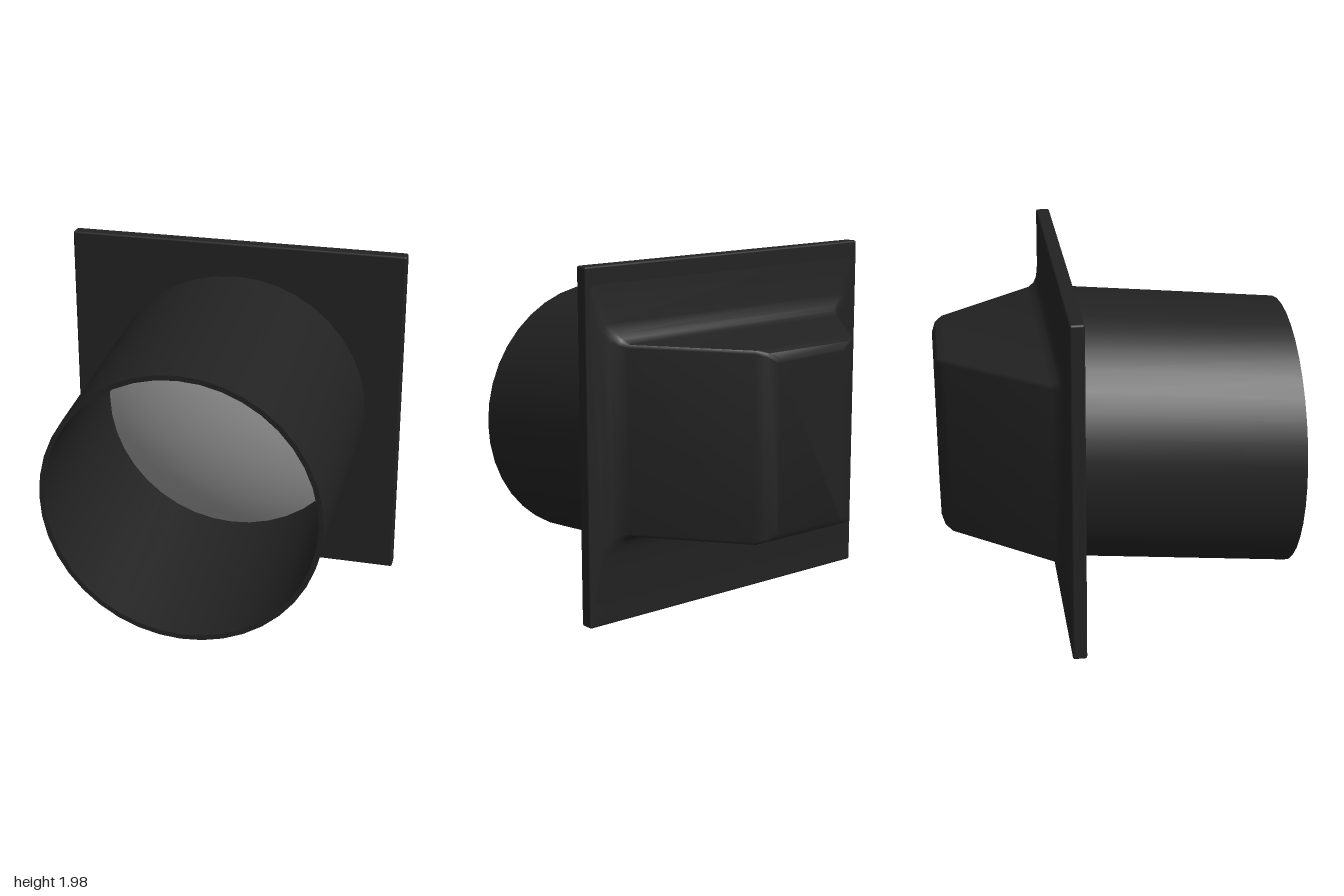
import * as THREE from 'three';
import { toCreasedNormals } from 'three/addons/utils/BufferGeometryUtils.js';
import { RoundedBoxGeometry } from 'three/addons/geometries/RoundedBoxGeometry.js';

const PLATE_Z = -0.25;

// Lathe along z, sheared so the axis drops towards the front while the ends stay upright
function tiltedLathe(profile, segments) {
  const geo = new THREE.LatheGeometry(profile.map(([r, z]) => new THREE.Vector2(r, z)), segments);
  geo.rotateX(Math.PI / 2);
  const p = geo.attributes.position;
  for (let i = 0; i < p.count; i++) {
    p.setY(i, p.getY(i) + 1.0 - 0.096 * (p.getZ(i) - PLATE_Z));
  }
  return toCreasedNormals(geo, 0.6);
}

// Rounded rectangle ring, counter-clockwise seen from the front
function ring([z, hw, hh, cy, r]) {
  const pts = [];
  const corners = [[1, 1], [-1, 1], [-1, -1], [1, -1]];
  corners.forEach(([sx, sy], c) => {
    for (let k = 0; k <= 3; k++) {
      const a = (c + k / 3) * Math.PI / 2;
      pts.push([sx * (hw - r) + r * Math.cos(a), cy + sy * (hh - r) + r * Math.sin(a), z]);
    }
  });
  return pts;
}

// Skin between rings running towards the back, closed at the last ring
function loft(sections) {
  const rings = sections.map(ring);
  const n = rings[0].length;
  const index = [];
  for (let s = 0; s < rings.length - 1; s++) {
    for (let i = 0; i < n; i++) {
      const a = s * n + i, b = s * n + (i + 1) % n;
      index.push(a, a + n, b, b, a + n, b + n);
    }
  }
  const last = (rings.length - 1) * n;
  for (let i = 1; i < n - 1; i++) index.push(last, last + i + 1, last + i);
  const geo = new THREE.BufferGeometry();
  geo.setAttribute('position', new THREE.Float32BufferAttribute(rings.flat(2), 3));
  geo.setIndex(index);
  return toCreasedNormals(geo, 0.55);
}

export function createModel() {
  const group = new THREE.Group();
  const black = new THREE.MeshStandardMaterial({ color: 0x222222 });
  black.name = 'black plastic';
  const grey = new THREE.MeshStandardMaterial({ color: 0x999999 });
  grey.name = 'grey lens';

  const add = (name, geo, mat) => {
    const mesh = new THREE.Mesh(geo, mat);
    mesh.name = name;
    group.add(mesh);
  };

  // Square mounting plate
  const plate = new RoundedBoxGeometry(1.97, 1.98, 0.08, 2, 0.012);
  plate.translate(0, 0.99, -0.285);
  add('mountingPlate', plate, black);

  // Hollow hood, open at the front
  add('hoodTube', tiltedLathe([[0.785, -0.26], [0.785, 1], [0.757, 1], [0.757, -0.26]], 40), black);

  // Domed lens inside the hood
  const dome = [];
  const edge = 0.76, sag = 0.2, R = (edge * edge + sag * sag) / (2 * sag);
  const maxAngle = Math.asin(edge / R);
  for (let i = 0; i <= 10; i++) {
    const a = maxAngle * (1 - i / 10);
    dome.push([R * Math.sin(a), -0.15 + sag - R * (1 - Math.cos(a))]);
  }
  add('lens', tiltedLathe(dome, 40), grey);

  // Tapered rear housing with a fillet to the plate: z, half width, half height, centre y, corner radius
  add('rearHousing', loft([
    [-0.322, 0.975, 0.97, 0.99, 0.02],
    [-0.333, 0.9, 0.64, 1.03, 0.05],
    [-0.345, 0.84, 0.58, 1.03, 0.04],
    [-0.365, 0.8, 0.55, 1.03, 0.03],
    [-0.4, 0.77, 0.53, 1.03, 0.02],
    [-0.94, 0.355, 0.527, 1.03, 0.02],
    [-0.98, 0.305, 0.51, 1.03, 0.02],
    [-1, 0.24, 0.475, 1.03, 0.02],
  ]), black);

  return group;
}
